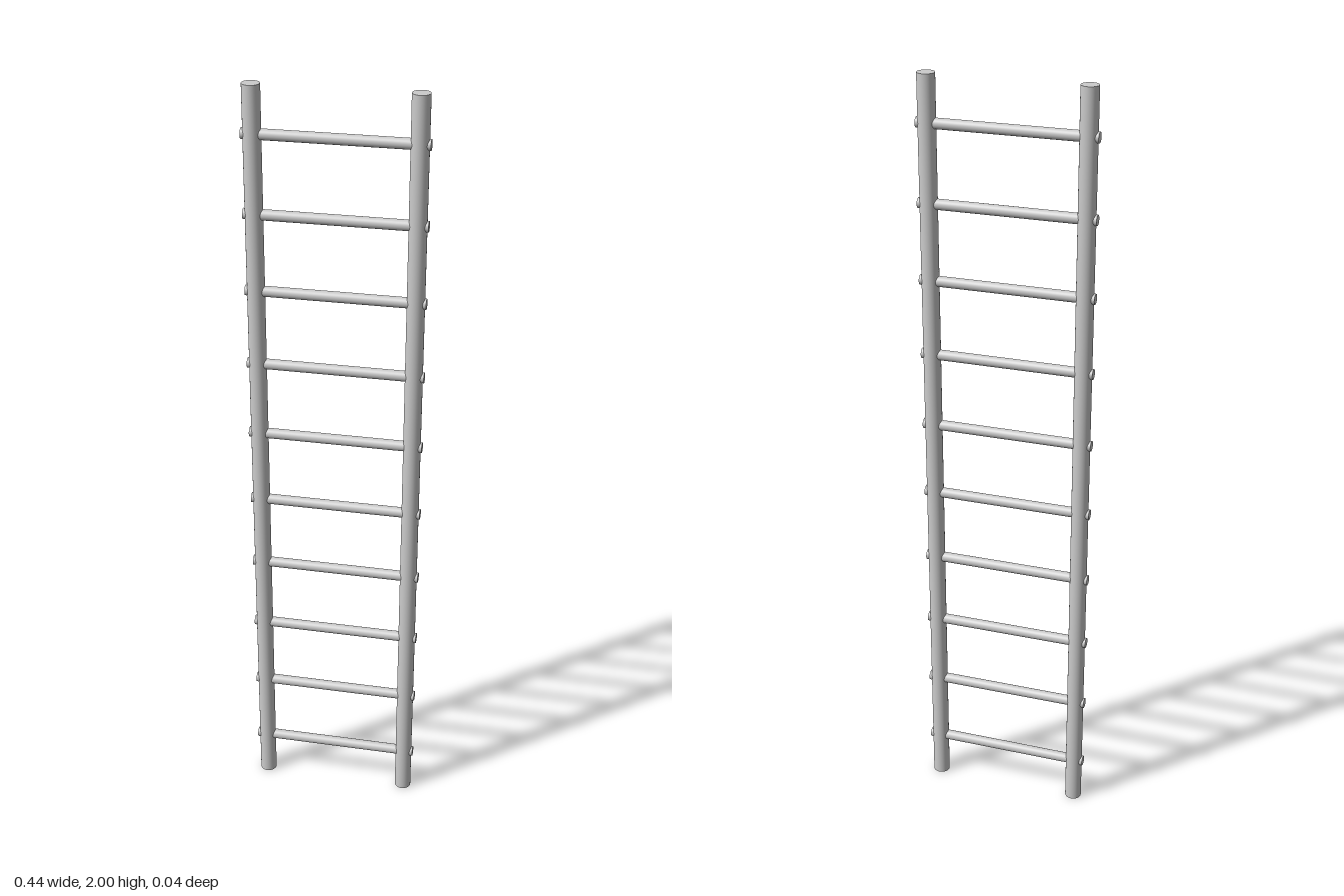
import * as THREE from 'three';

export function createModel() {
  const ladder = new THREE.Group();
  ladder.name = 'ladder';
  const material = new THREE.MeshStandardMaterial({ color: 0xcccccc });

  // Two upright round rails
  const railGeometry = new THREE.CylinderGeometry(0.022, 0.022, 2, 32);
  for (const side of [-1, 1]) {
    const rail = new THREE.Mesh(railGeometry, material);
    rail.name = side > 0 ? 'leftRail' : 'rightRail';
    rail.position.set(side * 0.196, 1, 0);
    ladder.add(rail);
  }

  // Ten evenly spaced rungs whose ends poke through the rails
  const rungGeometry = new THREE.CylinderGeometry(0.0133, 0.0133, 0.444, 32).rotateZ(Math.PI / 2);
  const rungCount = 10, firstRung = 0.122, spacing = 0.1955;
  for (let i = 0; i < rungCount; i++) {
    const rung = new THREE.Mesh(rungGeometry, material);
    rung.name = `rung${i + 1}`;
    rung.position.y = firstRung + i * spacing;
    ladder.add(rung);
  }
  return ladder;
}
